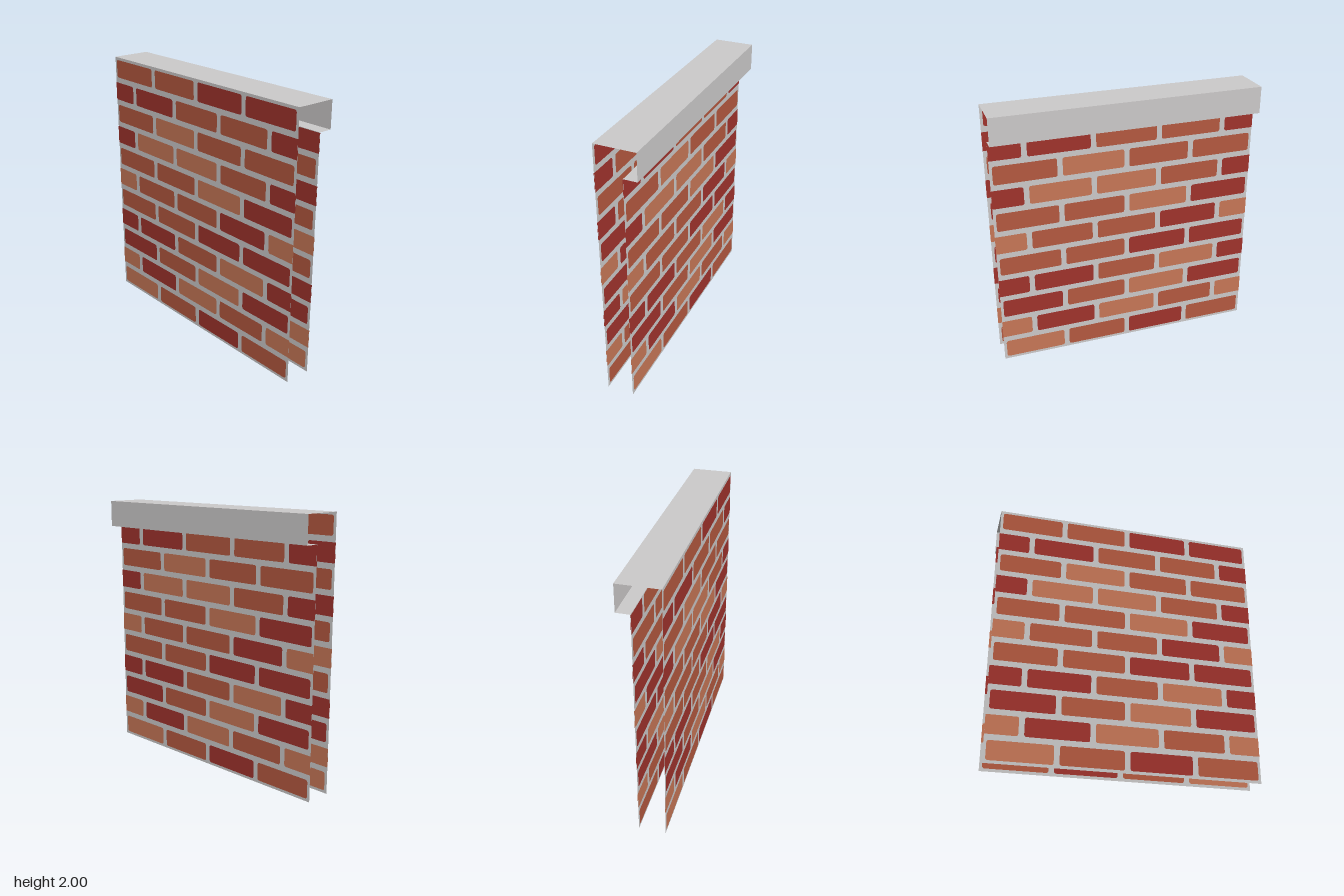
import * as THREE from 'three';
import { mergeGeometries } from 'three/addons/utils/BufferGeometryUtils.js';

const paint = (name, color) => {
  const m = new THREE.MeshStandardMaterial({ color, side: THREE.DoubleSide });
  m.name = name;
  return m;
};

// Brick colours per course, bottom to top: L light, M medium, D dark
const COURSES = ['LMDM', 'LDLML', 'DMLD', 'DDMLD', 'MMDD', 'LMMDL',
  'MMLD', 'DLLMD', 'MLMM', 'DDMMD', 'MMDD'];
const PITCH = 2 / 11;

// Rounded brick face, cut off at the borders of the wall
function brickFace(cx, cy, wallHeight, w = 0.46, h = 0.14, r = 0.016) {
  const pts = [];
  for (let c = 0; c < 4; c++) {
    const sx = c === 0 || c === 3 ? 1 : -1, sy = c < 2 ? 1 : -1;
    for (let i = 0; i <= 3; i++) {
      const a = (c + i / 3) * Math.PI / 2;
      const x = cx + sx * (w / 2 - r) + r * Math.cos(a);
      const y = cy + sy * (h / 2 - r) + r * Math.sin(a);
      pts.push(new THREE.Vector2(
        THREE.MathUtils.clamp(x, -1, 1), Math.min(y, wallHeight)));
    }
  }
  return new THREE.ShapeGeometry(new THREE.Shape(pts));
}

// Thin wall: a mortar sheet with brick faces on both sides
function makeWall(name, height, mortar, bricks) {
  const wall = new THREE.Group();
  wall.name = name;
  const sheet = new THREE.Mesh(new THREE.PlaneGeometry(2, height).translate(0, height / 2, 0), mortar);
  sheet.name = 'mortarSheet';
  wall.add(sheet);

  const faces = { L: [], M: [], D: [] };
  COURSES.forEach((course, row) => {
    const cy = (row + 0.5) * PITCH;
    if (cy > height) return;
    const start = row % 2 ? -1 : -0.75;
    [...course].forEach((tone, i) => {
      const face = brickFace(start + i * 0.5, cy, height);
      faces[tone].push(face.clone().translate(0, 0, 0.002), face.translate(0, 0, -0.002));
    });
  });
  for (const tone in faces) {
    const mesh = new THREE.Mesh(mergeGeometries(faces[tone]), bricks[tone]);
    mesh.name = bricks[tone].name + 's';
    wall.add(mesh);
  }
  return wall;
}

export function createModel() {
  const model = new THREE.Group();
  model.name = 'brickWall';
  const mortar = paint('mortarGrey', 0xcac8c8);
  const bricks = {
    L: paint('lightBrick', 0xc67656),
    M: paint('mediumBrick', 0xb3583f),
    D: paint('darkBrick', 0x9f322c),
  };

  // Two parallel walls, each facing outwards
  const leftWall = makeWall('lowerWall', 1.8, mortar, bricks);
  leftWall.rotation.y = Math.PI / 2;
  leftWall.position.x = 0.05;
  const rightWall = makeWall('fullWall', 2, mortar, bricks);
  rightWall.rotation.y = -Math.PI / 2;
  rightWall.position.x = -0.15;
  model.add(leftWall, rightWall);

  // Overhanging coping, open at both ends
  const panel = (name, w, x, y, axis) => {
    const geo = new THREE.PlaneGeometry(w, 2).rotateX(-Math.PI / 2);
    if (axis === 'side') geo.rotateZ(-Math.PI / 2);
    const mesh = new THREE.Mesh(geo, mortar);
    mesh.name = name;
    mesh.position.set(x, y, 0);
    model.add(mesh);
  };
  panel('copingTop', 0.3, 0, 2);
  panel('copingSide', 0.2, 0.15, 1.9, 'side');
  panel('copingUnderside', 0.1, 0.1, 1.8);

  return model;
}
